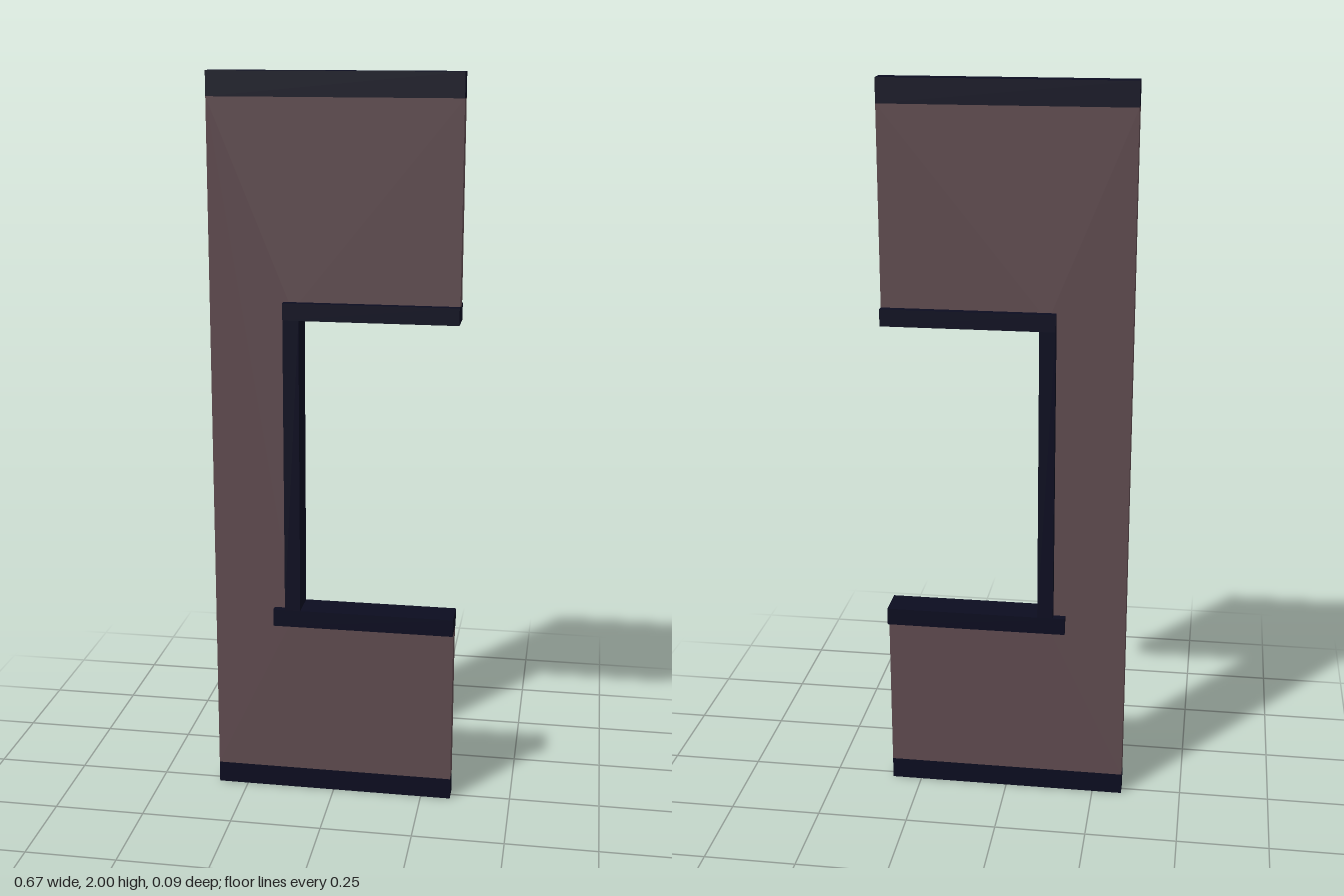
import * as THREE from 'three';

export function createModel() {
  const group = new THREE.Group();
  const plaster = new THREE.MeshStandardMaterial({ color: 0x5e4a4e });
  plaster.name = 'mauve plaster';
  const navy = new THREE.MeshStandardMaterial({ color: 0x0b0c20 });
  navy.name = 'dark navy trim';

  const halfWidth = 0.333;
  const wallDepth = 0.05;
  const frameDepth = 0.092;

  // Box given by its x and y limits, centred on z = 0
  const bar = (name, x0, x1, y0, y1, depth) => {
    const mesh = new THREE.Mesh(new THREE.BoxGeometry(x1 - x0, y1 - y0, depth), navy);
    mesh.position.set((x0 + x1) / 2, (y0 + y1) / 2, 0);
    mesh.name = name;
    group.add(mesh);
  };

  // C-shaped wall panel, open on the left where the window sits
  const outline = new THREE.Shape([
    [-halfWidth, 0.06], [halfWidth, 0.06], [halfWidth, 0.525], [-0.11, 0.525],
    [-0.11, 1.385], [halfWidth, 1.385], [halfWidth, 1.935], [-halfWidth, 1.935],
  ].map(([x, y]) => new THREE.Vector2(x, y)));
  const wallGeometry = new THREE.ExtrudeGeometry(outline, { depth: wallDepth, bevelEnabled: false });
  wallGeometry.translate(0, 0, -wallDepth / 2);
  const wall = new THREE.Mesh(wallGeometry, plaster);
  wall.name = 'wallPanel';
  group.add(wall);

  // Flush bands at floor and ceiling
  bar('bottomTrim', -halfWidth, halfWidth, 0, 0.06, wallDepth);
  bar('topTrim', -halfWidth, halfWidth, 1.935, 2, wallDepth);

  // Window frame, standing proud of both wall faces
  bar('windowHead', -0.133, halfWidth, 1.362, 1.408, frameDepth);
  bar('windowJamb', -0.133, -0.09, 0.548, 1.362, frameDepth);
  bar('windowSill', -0.166, halfWidth, 0.5, 0.548, frameDepth);

  return group;
}
